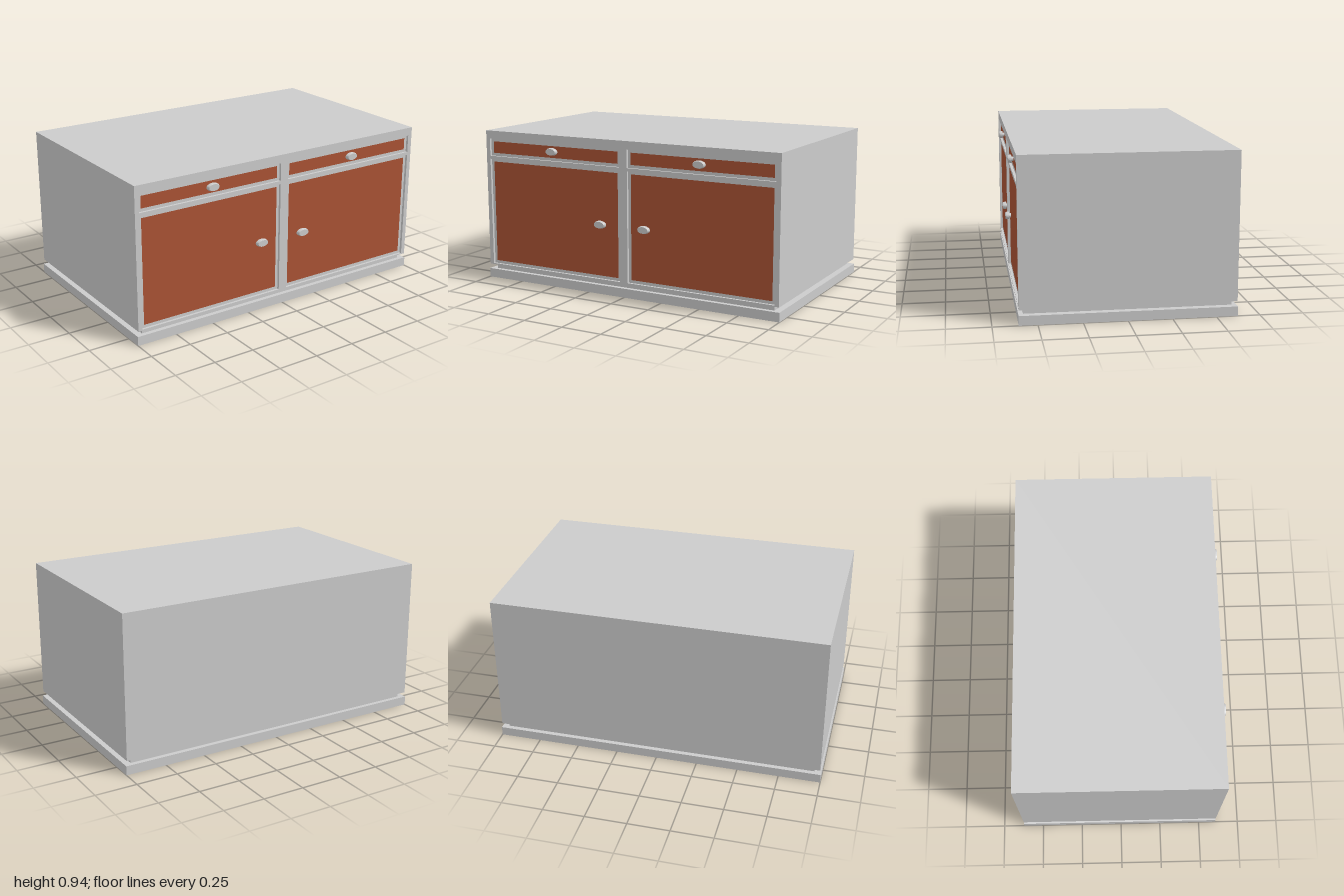
import * as THREE from 'three';
import { toCreasedNormals } from 'three/addons/utils/BufferGeometryUtils.js';

const grey = new THREE.MeshStandardMaterial({ color: 0xcccccc, side: THREE.DoubleSide });
const brown = new THREE.MeshStandardMaterial({ color: 0xaa5334, side: THREE.DoubleSide });

const FRONT = 0.604, RECESS = 0.015, LEDGE = 0.018;

// Joins rectangular loops of four corners with flat quads; can close the last loop.
function skin(loops, { cap = false, skip = () => false } = {}) {
  const pos = [];
  const quad = (a, b, c, d) => pos.push(...a, ...b, ...c, ...a, ...c, ...d);
  for (let s = 0; s < loops.length - 1; s++) {
    for (let i = 0; i < 4; i++) {
      if (skip(s, i)) continue;
      const j = (i + 1) % 4;
      quad(loops[s][i], loops[s][j], loops[s + 1][j], loops[s + 1][i]);
    }
  }
  if (cap) quad(...loops[loops.length - 1]);
  const geo = new THREE.BufferGeometry();
  geo.setAttribute('position', new THREE.Float32BufferAttribute(pos, 3));
  geo.computeVertexNormals();
  return geo;
}

// Horizontal loop, starting with the front side
const level = (hx, zb, zf, y) => [[-hx, y, zf], [hx, y, zf], [hx, y, zb], [-hx, y, zb]];
// Upright loop, grown by g
const upright = ([x0, x1, y0, y1], g, z) =>
  [[x0 - g, y0 - g, z], [x1 + g, y0 - g, z], [x1 + g, y1 + g, z], [x0 - g, y1 + g, z]];

function add(parent, name, geo, mat = grey) {
  const mesh = new THREE.Mesh(geo, mat);
  mesh.name = name;
  parent.add(mesh);
  return mesh;
}

// Oval knob: short stem and a tapered head
function knobGeometry() {
  const profile = [[0.55, -0.017], [0.55, -0.002], [1, -0.002], [1, 0.007], [0.85, 0.019], [0, 0.019]]
    .map(([r, y]) => new THREE.Vector2(r, y));
  const geo = new THREE.LatheGeometry(profile, 24);
  geo.scale(0.04, 1, 0.023);
  geo.rotateX(Math.PI / 2);
  return toCreasedNormals(geo, 0.6);
}

export function createModel() {
  const cabinet = new THREE.Group();
  cabinet.name = 'cabinet';

  // Plinth and recessed neck, open underneath
  add(cabinet, 'plinth', skin([
    level(1, -0.622, 0.605, 0),
    level(1, -0.622, 0.605, 0.055),
    level(0.96, -0.595, 0.578, 0.055),
    level(0.96, -0.595, 0.578, 0.085),
  ]));

  // Hollow carcass: underside rim, sides, back and top
  add(cabinet, 'carcass', skin([
    level(0.96, -0.595, 0.578, 0.085),
    level(0.995, -0.62, FRONT, 0.085),
    level(0.995, -0.62, FRONT, 0.94),
  ], { cap: true, skip: (s, i) => s === 1 && i === 0 }));

  // Panels as [x0, x1, y0, y1] with knob positions
  const panels = [];
  for (const side of [-1, 1]) {
    const [x0, x1] = side < 0 ? [-0.95, -0.045] : [0.045, 0.95];
    panels.push({ name: 'drawer', box: [x0, x1, 0.8, 0.872], knob: [side * 0.5, 0.84] });
    panels.push({ name: 'door', box: [x0, x1, 0.11, 0.745], knob: [side < 0 ? -0.16 : 0.14, 0.428] });
  }

  // Face frame with four openings
  const outline = ([x0, x1, y0, y1], g) =>
    upright([x0, x1, y0, y1], g, 0).map(([x, y]) => new THREE.Vector2(x, y));
  const frame = new THREE.Shape(outline([-0.995, 0.995, 0.085, 0.94], 0));
  for (const p of panels) frame.holes.push(new THREE.Path(outline(p.box, LEDGE)));
  add(cabinet, 'faceFrame', new THREE.ShapeGeometry(frame).translate(0, 0, FRONT));

  // Recessed drawers and doors
  const knobGeo = knobGeometry();
  for (const { name, box, knob } of panels) {
    const front = new THREE.Group();
    front.name = (box[0] < 0 ? 'right' : 'left') + (name === 'door' ? 'Door' : 'Drawer');
    add(front, 'border', skin([
      upright(box, LEDGE, FRONT),
      upright(box, LEDGE, FRONT - RECESS),
      upright(box, 0, FRONT - RECESS),
    ]));
    add(front, 'panel', skin([upright(box, 0, FRONT - RECESS)], { cap: true }), brown);
    add(front, 'knob', knobGeo).position.set(knob[0], knob[1], FRONT);
    cabinet.add(front);
  }
  return cabinet;
}
